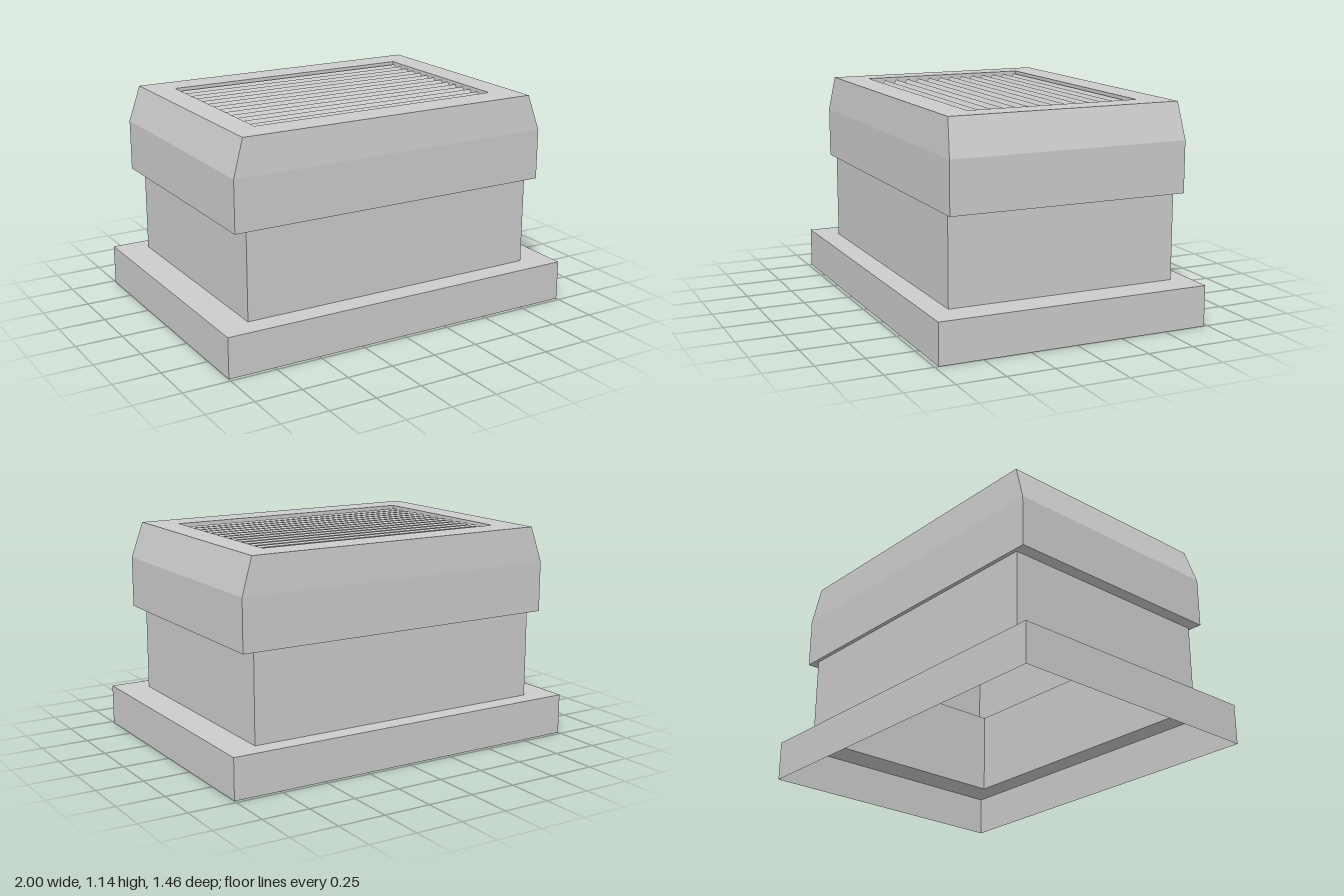
import * as THREE from 'three';

const material = new THREE.MeshStandardMaterial({
  color: 0xcccccc, flatShading: true, side: THREE.DoubleSide,
});

// Thin sheet lofted through rectangular rings: [y, half width, back z, front z]
function sheetShell(name, rings) {
  const corners = ([y, w, back, front]) => [
    [-w, y, front], [w, y, front], [w, y, back], [-w, y, back],
  ];
  const positions = [];
  for (let i = 0; i < rings.length - 1; i++) {
    const low = corners(rings[i]);
    const high = corners(rings[i + 1]);
    for (let k = 0; k < 4; k++) {
      const n = (k + 1) % 4;
      positions.push(...low[k], ...low[n], ...high[n], ...low[k], ...high[n], ...high[k]);
    }
  }
  const geometry = new THREE.BufferGeometry();
  geometry.setAttribute('position', new THREE.Float32BufferAttribute(positions, 3));
  geometry.computeVertexNormals();
  const mesh = new THREE.Mesh(geometry, material);
  mesh.name = name;
  return mesh;
}

export function createModel() {
  const model = new THREE.Group();
  model.name = 'roofVent';

  const bodyFoot = [0.215, 0.833, -0.63, 0.61];
  const bodyTop = [0.68, 0.833, -0.63, 0.61];

  // Base skirt with its inward flange, open underneath
  model.add(sheetShell('baseSkirt', [
    [0, 1, -0.73, 0.73], [0.215, 1, -0.73, 0.73], bodyFoot,
  ]));

  // Straight duct
  model.add(sheetShell('duct', [bodyFoot, bodyTop]));

  // Overhanging hood, tapered shoulder, top frame and opening lip
  model.add(sheetShell('hood', [
    bodyTop,
    [0.68, 0.9, -0.65, 0.627],
    [0.95, 0.9, -0.65, 0.627],
    [1.14, 0.84, -0.637, 0.608],
    [1.14, 0.697, -0.48, 0.45],
    [1.09, 0.697, -0.48, 0.45],
  ]));

  // Tilted louvre slats, top edge at the back and sloping down to the front
  const grille = new THREE.Group();
  grille.name = 'louvreGrille';
  const tilt = THREE.MathUtils.degToRad(51);
  const length = 0.25;
  const slatGeometry = new THREE.BoxGeometry(1.394, 0.013, length);
  slatGeometry.translate(0, -0.0065, length / 2);
  for (let i = 0; i < 14; i++) {
    const slat = new THREE.Mesh(slatGeometry, material);
    slat.name = 'louvreSlat';
    slat.rotation.x = tilt;
    slat.position.set(0, 1.125, -0.467 + i * 0.0682);
    grille.add(slat);
  }
  model.add(grille);

  return model;
}
